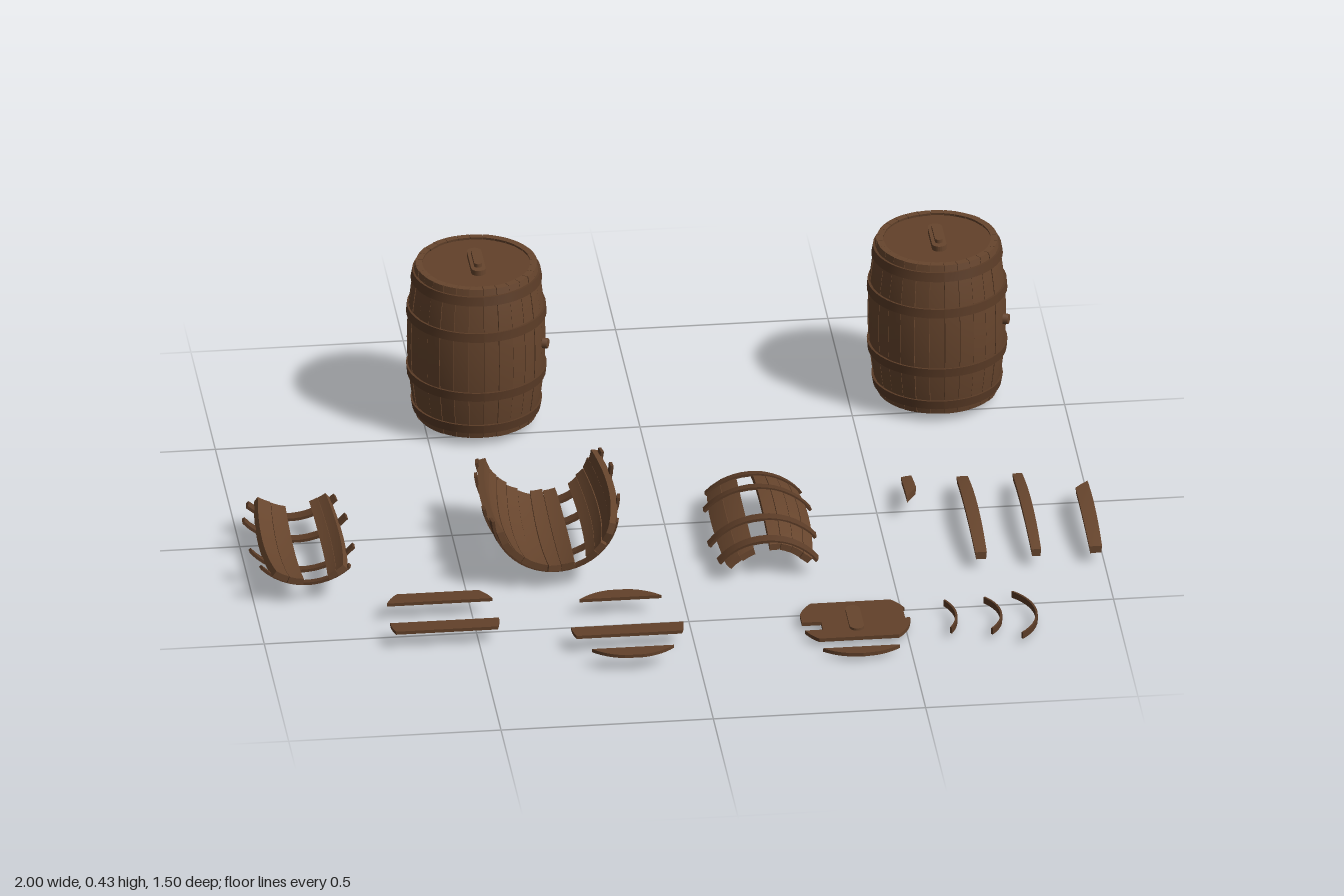
import * as THREE from 'three';

const wood = new THREE.MeshStandardMaterial({ color: 0x67452d });
wood.name = 'oak wood';
const lidWood = new THREE.MeshStandardMaterial({ color: 0x62412a });
lidWood.name = 'lid wood';
const band = new THREE.MeshStandardMaterial({ color: 0x5a3b26 });
band.name = 'hoop band';

const HALF = 0.195, THICK = 0.016, STAVES = 28, STEP = (Math.PI * 2) / STAVES;
const HOOPS = [-0.168, -0.078, 0.078, 0.168];
const deg = Math.PI / 180;
const bulge = y => 0.162 - 0.02 * (y / HALF) ** 2;

let seed = 7;
const rand = () => (seed = (seed * 16807) % 2147483647) / 2147483647;

function add(parent, name, geometry, material, x = 0, y = 0, z = 0) {
  const mesh = new THREE.Mesh(geometry, material);
  mesh.name = name;
  mesh.position.set(x, y, z);
  parent.add(mesh);
  return mesh;
}

// A curved slab around the y axis: angle a0..a1, height y0..y1, slanted ends optional
function shell(a0, a1, y0, y1, outer, thick, na, ny, slant0 = 0, slant1 = 0) {
  const g = new THREE.BoxGeometry(1, 1, 1, na, ny, 1);
  const p = g.attributes.position;
  for (let i = 0; i < p.count; i++) {
    const s = p.getX(i), t = p.getY(i) + 0.5;
    const a = a0 + (a1 - a0) * (s + 0.5);
    const y = (y0 + slant0 * s) * (1 - t) + (y1 + slant1 * s) * t;
    const r = outer(y) - (0.5 - p.getZ(i)) * thick;
    p.setXYZ(i, r * Math.sin(a), y, r * Math.cos(a));
  }
  g.computeVertexNormals();
  return g;
}

// Staves filling an angle range, with slightly uneven faces
function staves(parent, a0, a1, broken) {
  const n = Math.max(1, Math.round((a1 - a0) / STEP)), w = (a1 - a0) / n;
  for (let i = 0; i < n; i++) {
    const lift = (rand() - 0.5) * 0.002;
    const cut = () => broken ? rand() * 0.012 : 0;
    const skew = () => broken ? (rand() - 0.5) * 0.014 : 0;
    add(parent, 'stave', shell(a0 + i * w + 0.004, a0 + (i + 1) * w - 0.004,
      -HALF + cut(), HALF - cut(), y => bulge(y) + lift, THICK, 2, 12, skew(), skew()), wood);
  }
}

function hoop(parent, y, a0, a1, slant = 0) {
  const n = Math.max(4, Math.round((a1 - a0) / 0.13));
  add(parent, 'hoop', shell(a0, a1, y - 0.011, y + 0.011, v => bulge(v) + 0.005, 0.007, n, 1, slant, slant), band);
}

// A board cut from a round lid, between two chords, optionally broken at its ends
function plank(parent, x, y, z, z0, z1, r = 0.132, thick = 0.008, left = -1, right = 1) {
  const pts = [], n = 8;
  const half = v => Math.sqrt(Math.max(0, r * r - v * v));
  for (let i = 0; i <= n; i++) {
    const v = z0 + (z1 - z0) * i / n;
    pts.push(new THREE.Vector2(Math.min(right, half(v)), -v));
  }
  for (let i = n; i >= 0; i--) {
    const v = z0 + (z1 - z0) * i / n;
    pts.push(new THREE.Vector2(Math.max(left, -half(v)), -v));
  }
  const g = new THREE.ExtrudeGeometry(new THREE.Shape(pts), { depth: thick, bevelEnabled: false });
  g.rotateX(-Math.PI / 2);
  add(parent, 'lidPlank', g, lidWood, x, y, z);
}

// Round ended batten lying along z
function batten(parent, name, w, len, h, x, y, z) {
  const s = new THREE.Shape(), r = w / 2, e = len / 2 - r;
  s.absarc(0, e, r, 0, Math.PI);
  s.absarc(0, -e, r, Math.PI, Math.PI * 2);
  const g = new THREE.ExtrudeGeometry(s, { depth: h, bevelEnabled: false, curveSegments: 6 });
  g.rotateX(-Math.PI / 2);
  add(parent, name, g, wood, x, y, z);
}

function barrel(x, z) {
  const g = new THREE.Group();
  g.name = 'barrel';
  g.position.set(x, 0.215, z);
  staves(g, 0, Math.PI * 2, false);
  for (const y of HOOPS) hoop(g, y, 0, Math.PI * 2);
  // Top and bottom heads
  for (const y of [HALF - 0.014, -HALF + 0.006])
    for (let i = -3; i < 3; i++) plank(g, 0, y, 0, i * 0.045, (i + 1) * 0.045, 0.135);
  // Lid handle
  batten(g, 'handleBase', 0.034, 0.12, 0.013, 0, HALF - 0.006, 0);
  batten(g, 'handleGrip', 0.018, 0.085, 0.009, 0, HALF + 0.007, 0);
  // Bung in the side
  const bung = add(g, 'bung', new THREE.CylinderGeometry(0.012, 0.013, 0.02, 12), wood, 0.152, 0.005, 0.062);
  bung.rotation.set(0, -Math.atan2(0.062, 0.152), -Math.PI / 2, 'YXZ');
  return g;
}

// Broken section of a barrel, lying down: as a trough or as a dome
function fragment(x, y, dome, ranges, hoopEnds) {
  const g = new THREE.Group();
  g.name = 'barrelFragment';
  g.position.set(x, y, 0.115);
  g.rotation.x = dome ? -Math.PI / 2 : Math.PI / 2;
  for (const [a, b] of ranges) staves(g, a * deg, b * deg, true);
  hoopEnds.forEach(([a, b], i) => hoop(g, HOOPS[i], a * deg, b * deg, 0.004 * (i % 2 ? 1 : -1)));
  return g;
}

export function createModel() {
  const model = new THREE.Group();
  model.name = 'barrelSet';

  // Whole barrels
  model.add(barrel(-0.375, -0.59), barrel(0.71, -0.59));

  // Broken sections
  model.add(
    fragment(-0.875, 0.192, false, [[-36, -4], [21, 41]], [[-43, 46], [-49, 49], [-50, 49], [-46, 43]]),
    fragment(-0.29, 0.192, false, [[-76, 19], [33, 80]], [[-80, 84], [-84, 88], [-82, 86], [-86, 80]]),
    fragment(0.21, -0.055, true, [[-45, -14], [1, 46]], [[-50, 52], [-53, 50], [-49, 53], [-46, 51]])
  );

  // Loose staves: x, z, half angle, extent and end slants
  for (const [x, z, a, y0, y1, s0, s1] of [
    [0.58, 0.1, 0.09, 0.085, HALF, 0.05, 0.01],
    [0.71, 0.115, 0.095, -HALF, HALF, 0, 0],
    [0.84, 0.115, 0.08, -HALF, HALF, 0, 0],
    [0.98, 0.115, 0.105, -HALF, 0.095, 0, 0.04]
  ]) {
    const m = add(model, 'looseStave', shell(-a, a, y0, y1, bulge, 0.018, 2, 12, s0, s1), wood, x, -0.098, z);
    m.rotation.x = -Math.PI / 2;
  }

  // Loose lid boards
  plank(model, -0.577, 0.037, 0.46, -0.09, -0.045);
  plank(model, -0.577, 0.037, 0.515, 0, 0.045, 0.128);
  plank(model, -0.155, 0.037, 0.535, -0.13, -0.09);
  plank(model, -0.155, 0.037, 0.585, 0, 0.045);
  plank(model, -0.155, 0.037, 0.61, 0.09, 0.13);

  // Broken lid with its handle
  const lx = 0.3825, lz = 0.57;
  plank(model, lx, 0.011, lz, -0.09, -0.045, 0.13, 0.009);
  plank(model, lx, 0.011, lz, -0.045, 0.005, 0.13, 0.009, -0.125, 0.118);
  plank(model, lx, 0.011, lz, 0.005, 0.045, 0.13, 0.009, -0.08);
  plank(model, lx, 0.011, lz, 0.045, 0.09, 0.13, 0.009);
  plank(model, lx, 0.011, 0.61, 0.1, 0.135, 0.135, 0.009);
  batten(model, 'brokenLidHandle', 0.034, 0.12, 0.006, lx, 0.02, lz);
  batten(model, 'brokenLidBatten', 0.034, 0.12, 0.011, lx, 0, lz);

  // Loose hoop pieces: outermost x, z, radius, half angle
  for (const [x, z, r, a] of [[0.622, 0.582, 0.14, 31], [0.727, 0.588, 0.125, 41], [0.81, 0.592, 0.15, 46]])
    add(model, 'looseHoop', shell((90 - a) * deg, (90 + a) * deg, 0.012, 0.028, () => r, 0.005, 14, 1),
      band, x - r, 0, z);

  return model;
}
